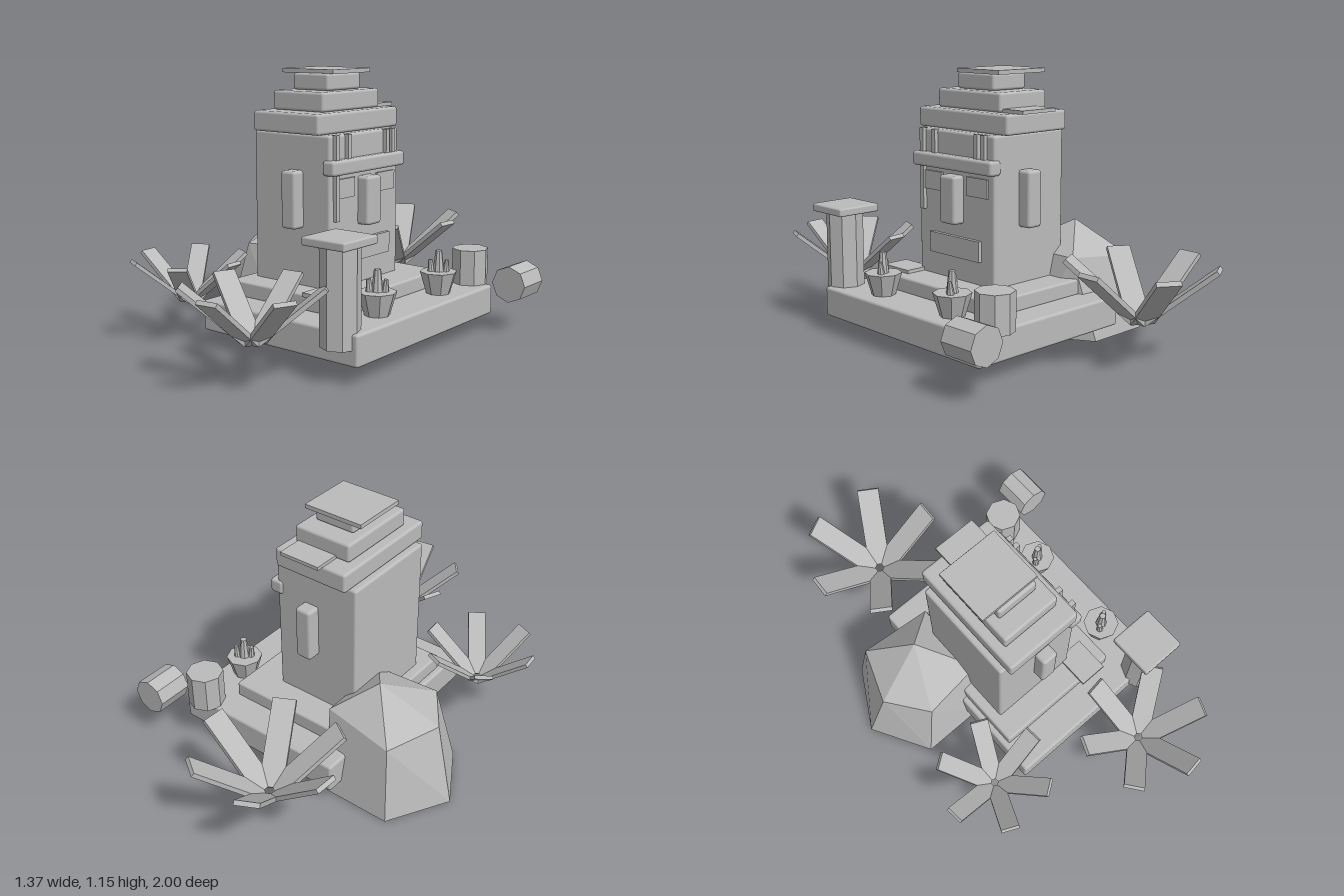
import * as THREE from 'three';
import { RoundedBoxGeometry } from 'three/addons/geometries/RoundedBoxGeometry.js';
import { ConvexGeometry } from 'three/addons/geometries/ConvexGeometry.js';

export function createModel() {
  const model = new THREE.Group();
  const stone = new THREE.MeshStandardMaterial({ color: 0xbbbbbb });
  stone.name = 'plainGrey';

  const add = (name, geometry, parent = model) => {
    const mesh = new THREE.Mesh(geometry, stone);
    mesh.name = name;
    parent.add(mesh);
    return mesh;
  };
  // Blocks are given by their extents on x, y and z
  const block = (name, [x0, x1], [y0, y1], [z0, z1], radius = 0) => {
    const size = [x1 - x0, y1 - y0, z1 - z0];
    const g = radius ? new RoundedBoxGeometry(...size, 2, radius) : new THREE.BoxGeometry(...size);
    g.translate((x0 + x1) / 2, (y0 + y1) / 2, (z0 + z1) / 2);
    return add(name, g);
  };
  // Faceted upright cylinder standing on y
  const drum = (name, rTop, rBottom, height, x, y, z, parent = model, sides = 8) => {
    const g = new THREE.CylinderGeometry(rTop, rBottom, height, sides).toNonIndexed();
    g.computeVertexNormals();
    g.translate(0, height / 2, 0);
    const mesh = add(name, g, parent);
    mesh.position.set(x, y, z);
    return mesh;
  };

  // Ground slab, plinth and tower
  block('baseSlab', [-0.3, 0.51], [0.075, 0.205], [-0.48, 0.495], 0.012);
  block('plinth', [-0.275, 0.32], [0.2, 0.27], [-0.35, 0.355], 0.01);
  block('tower', [-0.23, 0.175], [0.26, 0.9], [-0.22, 0.245], 0.012);

  // Stepped roof
  block('roofLower', [-0.205, 0.145], [0.9, 0.985], [-0.26, 0.28], 0.012);
  block('roofMiddle', [-0.165, 0.105], [0.985, 1.066], [-0.18, 0.2], 0.012);
  block('roofUpper', [-0.125, 0.065], [1.066, 1.137], [-0.1, 0.12], 0.012);
  block('roofPlate', [-0.195, 0.08], [1.135, 1.153], [-0.145, 0.105]);
  block('rearRoofPlate', [-0.1, 0.09], [0.985, 1.0], [-0.293, -0.12]);

  // Side windows
  block('windowFront', [-0.04, 0.036], [0.51, 0.75], [0.23, 0.3], 0.014);
  block('windowBack', [-0.04, 0.036], [0.51, 0.75], [-0.28, -0.21], 0.014);

  // Entrance face
  block('door', [0.16, 0.229], [0.515, 0.72], [-0.035, 0.06], 0.014);
  block('lintel', [0.145, 0.207], [0.738, 0.8], [-0.23, 0.258], 0.013);
  block('longPost', [0.17, 0.192], [0.55, 0.9], [0.2, 0.222]);
  for (const z of [0.135, -0.125, -0.165])
    block('shortPost', [0.17, 0.192], [0.79, 0.9], [z - 0.011, z + 0.011]);
  block('panelLeft', [0.17, 0.184], [0.64, 0.72], [-0.185, -0.062]);
  block('panelRight', [0.17, 0.184], [0.64, 0.72], [0.09, 0.2]);
  block('lowerPanel', [0.17, 0.192], [0.37, 0.458], [-0.142, 0.16]);
  block('looseSheet', [0.145, 0.27], [0.268, 0.285], [0.22, 0.383]);

  // Pillar with square cap
  drum('pillar', 0.08, 0.08, 0.39, 0.412, 0.14, 0.475);
  block('pillarCap', [0.305, 0.51], [0.53, 0.565], [0.37, 0.575], 0.008);

  // Barrels, one upright and one lying
  drum('uprightBarrel', 0.08, 0.08, 0.16, 0.405, 0.2, -0.46);
  drum('lyingBarrel', 0.08, 0.08, 0.16, 0.6, 0.222, -0.62).rotation.x = Math.PI / 2;

  // Potted cacti
  for (const z of [0.225, -0.213]) {
    const plant = new THREE.Group();
    plant.name = 'pottedCactus';
    plant.position.set(0.4, 0.2, z);
    model.add(plant);
    drum('pot', 0.08, 0.05, 0.1, 0, 0, 0, plant);
    drum('cactusStem', 0.014, 0.026, 0.1, 0, 0.09, 0, plant);
    for (const s of [-1, 1]) {
      const arm = drum('cactusArm', 0.009, 0.017, 0.06, s * 0.024, 0.09, -s * 0.018, plant);
      arm.rotation.z = -s * 0.1;
    }
  }

  // Spiky plants: six tilted slab leaves around a centre
  const spikyPlant = (x, z, scale, turn) => {
    const plant = new THREE.Group();
    plant.name = 'spikyPlant';
    plant.position.set(x, 0.172, z);
    plant.scale.setScalar(scale);
    model.add(plant);
    for (let i = 0; i < 6; i++) {
      const g = new THREE.BoxGeometry(0.365, 0.02, 0.1);
      g.translate(0.1825, 0, 0);
      g.rotateZ(0.69);
      g.translate(0.024, 0, 0);
      const leaf = add('leaf', g, plant);
      leaf.rotation.y = -THREE.MathUtils.degToRad(turn + i * 60);
    }
  };
  spikyPlant(-0.167, -0.705, 1, 3);
  spikyPlant(0.188, 0.713, 0.9, 22.5);
  spikyPlant(-0.436, 0.44, 0.8, -5);

  // Boulder: hexagonal foot, five shoulders and a peak
  const points = [[-0.59, 0.34, -0.13], [-0.46, 0.35, 0.05], [-0.18, 0.36, 0.02],
    [-0.18, 0.36, -0.33], [-0.5, 0.33, -0.37], [-0.34, 0.49, -0.2]];
  for (let i = 0; i < 6; i++) {
    const a = i * Math.PI / 3;
    points.push([-0.385 + 0.3 * Math.cos(a), 0, -0.16 + 0.3 * Math.sin(a)]);
  }
  add('boulder', new ConvexGeometry(points.map(p => new THREE.Vector3(...p))));

  return model;
}
